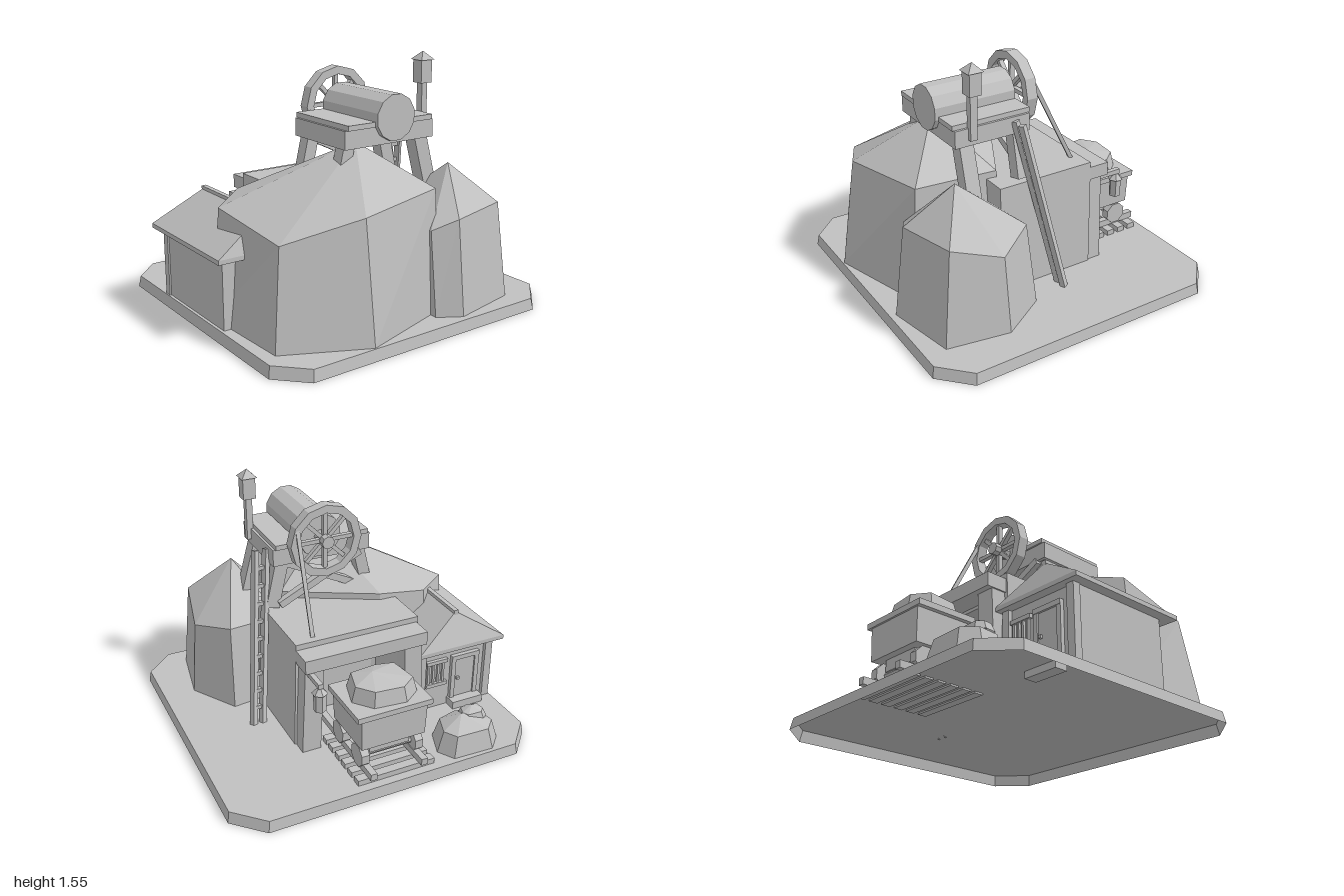
import * as THREE from 'three';

const grey = new THREE.MeshStandardMaterial({ color: 0xc0c0c0, flatShading: true, side: THREE.DoubleSide });
grey.name = 'plain grey';
const V = (a) => new THREE.Vector3(...a);

export function createModel() {
  const model = new THREE.Group();
  model.name = 'mine';

  const add = (name, geo, x = 0, y = 0, z = 0) => {
    const m = new THREE.Mesh(geo, grey);
    m.name = name;
    m.position.set(x, y, z);
    model.add(m);
    return m;
  };
  // Box given by its limits on each axis
  const box = (name, x0, x1, y0, y1, z0, z1) =>
    add(name, new THREE.BoxGeometry(x1 - x0, y1 - y0, z1 - z0), (x0 + x1) / 2, (y0 + y1) / 2, (z0 + z1) / 2);
  // Square beam between two points
  const beam = (name, a, b, w, d = w) => {
    const p = V(a), q = V(b), dir = q.clone().sub(p);
    const m = add(name, new THREE.BoxGeometry(w, dir.length(), d));
    m.position.copy(p).add(q).multiplyScalar(0.5);
    m.quaternion.setFromUnitVectors(new THREE.Vector3(0, 1, 0), dir.normalize());
    return m;
  };
  // Faceted shell, open below: rings of matching points closed by an apex, counter-clockwise from above
  const faceted = (name, rings, apex) => {
    const pos = [];
    const tri = (...pts) => pts.forEach((p) => pos.push(...p));
    const n = rings[0].length;
    for (let i = 0; i < n; i++) {
      const j = (i + 1) % n;
      for (let r = 0; r + 1 < rings.length; r++) {
        const [a, b] = [rings[r], rings[r + 1]];
        tri(a[i], a[j], b[j]);
        tri(a[i], b[j], b[i]);
      }
      const top = rings[rings.length - 1];
      tri(top[i], top[j], apex);
    }
    const g = new THREE.BufferGeometry();
    g.setAttribute('position', new THREE.Float32BufferAttribute(pos, 3));
    g.computeVertexNormals();
    return add(name, g);
  };
  const atHeight = (pts, y) => pts.map(([x, z]) => [x, y, z]);
  const scaled = (pts, cx, cz, s) => pts.map(([x, z]) => [cx + (x - cx) * s, cz + (z - cz) * s]);
  const rect = (x0, x1, z0, z1) => [[x0, z1], [x1, z1], [x1, z0], [x0, z0]];

  // Hollow ground slab with cut corners
  const slab = [[-0.8, 0.965], [0.825, 0.965], [1, 0.795], [1, -0.795],
    [0.825, -0.965], [-0.8, -0.965], [-0.965, -0.795], [-0.965, 0.795]];
  faceted('ground', [atHeight(slab, 0), atHeight(scaled(slab, 0.015, 0, 0.988), 0.07)], [0.015, 0.07, 0]);

  // Big and small mounds
  faceted('bigMound', [
    atHeight([[-0.87, 0.71], [-0.385, 0.945], [0.23, 0.76], [0.32, 0.2], [-0.28, -0.14], [-0.64, -0.14], [-0.9, 0.09]], 0.07),
    [[-0.8, 0.645, 0.65], [-0.375, 0.77, 0.84], [0.22, 0.81, 0.72], [0.25, 0.8, 0.2],
      [-0.3, 0.8, -0.095], [-0.61, 0.76, -0.1], [-0.85, 0.73, 0.1]],
  ], [-0.13, 1.075, 0.42]);
  faceted('smallMound', [
    atHeight([[0.15, 0.83], [0.29, 0.915], [0.725, 0.825], [0.79, 0.44], [0.61, 0.145], [0.2, 0.2]], 0.07),
    [[0.15, 0.58, 0.77], [0.295, 0.64, 0.845], [0.685, 0.66, 0.765], [0.745, 0.55, 0.455], [0.59, 0.605, 0.21], [0.24, 0.6, 0.25]],
  ], [0.435, 0.905, 0.585]);

  // Loose boulders at the back corner
  const boulder = [[-0.71, -0.68], [-0.54, -0.62], [-0.38, -0.66], [-0.32, -0.82], [-0.38, -0.92], [-0.64, -0.93], [-0.73, -0.84]];
  faceted('boulder', [atHeight(boulder, 0.07), atHeight(scaled(boulder, -0.53, -0.78, 0.8), 0.2)], [-0.5, 0.27, -0.78]);
  const pebble = scaled(boulder, -0.64, -0.73, 0.45);
  faceted('topBoulder', [atHeight(pebble, 0.21), atHeight(scaled(pebble, -0.59, -0.75, 0.75), 0.26)], [-0.59, 0.29, -0.75]);

  // Mine entrance: battered walls and roof around a tunnel, closed at the far end
  faceted('tunnelEnd', [atHeight(rect(-0.41, 0.42, -0.1, 0.265), 0.07), atHeight(rect(-0.395, 0.4, -0.1, 0.265), 0.76)],
    [0, 0.76, 0.08]);
  for (const s of [-1, 1]) {
    const wall = (out) => (s < 0 ? rect(-out - 0.005, -0.27, -0.385, -0.1) : rect(0.28, out, -0.385, -0.1));
    faceted('tunnelWall', [atHeight(wall(0.42), 0.07), atHeight(wall(0.4), 0.76)], [s * 0.33, 0.76, -0.24]);
    const post = (out, z1) => (s < 0 ? rect(-out, 0.12 - out, -0.48, z1) : rect(out - 0.12, out, -0.48, z1));
    faceted('portalPost', [atHeight(post(0.41, -0.39), 0.07), atHeight(post(0.385, -0.375), 0.64)], [s * 0.33, 0.64, -0.43]);
  }
  box('tunnelRoof', -0.27, 0.28, 0.62, 0.76, -0.385, -0.1);
  box('lintel', -0.395, 0.4, 0.64, 0.725, -0.52, -0.38);

  // Hanging lantern on a bracket
  box('lanternBracket', 0.345, 0.375, 0.605, 0.635, -0.64, -0.48);
  add('lantern', new THREE.CylinderGeometry(0.037, 0.037, 0.115, 6), 0.36, 0.51, -0.62);
  add('lanternCap', new THREE.CylinderGeometry(0.015, 0.048, 0.035, 6), 0.36, 0.585, -0.62);

  // Track, with sleepers sunk a little into the ground
  for (let i = 0; i < 6; i++) box('sleeper', -0.25, 0.25, 0.06, 0.105, -0.9 + i * 0.085, -0.845 + i * 0.085);
  for (const x of [-0.165, 0.165]) box('rail', x - 0.02, x + 0.02, 0.105, 0.148, -0.93, -0.12);

  // Ore cart
  const cart = rect(-0.205, 0.205, -0.848, -0.485);
  faceted('cartBody', [atHeight(cart, 0.27), atHeight(scaled(cart, 0, -0.665, 1.03), 0.47)], [0, 0.47, -0.665]);
  box('cartFloor', -0.204, 0.204, 0.27, 0.285, -0.847, -0.486);
  box('cartRim', -0.24, 0.24, 0.47, 0.505, -0.865, -0.475);
  box('cartFrame', -0.13, 0.13, 0.2, 0.275, -0.8, -0.52);
  for (const z of [-0.526, -0.775]) {
    add('axle', new THREE.CylinderGeometry(0.02, 0.02, 0.38, 6), 0, 0.19, z).rotation.z = Math.PI / 2;
    for (const x of [-0.175, 0.175]) {
      add('cartWheel', new THREE.CylinderGeometry(0.073, 0.073, 0.05, 8, 1, false, Math.PI / 8), x, 0.19, z).rotation.z = Math.PI / 2;
    }
  }
  const ore = [[-0.17, -0.54], [-0.04, -0.51], [0.15, -0.53], [0.2, -0.7], [0.11, -0.81], [-0.09, -0.83], [-0.2, -0.75]];
  faceted('ore', [atHeight(ore, 0.5), atHeight(scaled(ore, 0, -0.67, 0.87), 0.6)], [0.04, 0.635, -0.64]);

  // Cabin with hipped roof
  box('cabinWalls', -0.935, -0.42, 0.07, 0.52, -0.4, 0.28);
  const eave = rect(-1, -0.395, -0.46, 0.36);
  faceted('cabinRoof', [atHeight(scaled(eave, -0.69, -0.05, 0.8), 0.495), atHeight(eave, 0.495), atHeight(eave, 0.522),
    atHeight(rect(-0.7, -0.675, -0.37, 0.3), 0.71)], [-0.69, 0.71, 0]);
  box('ridgeCap', -0.702, -0.672, 0.695, 0.73, -0.375, 0.28);
  for (const x of [-0.92, -0.435]) box('cornerPost', x - 0.025, x + 0.025, 0.07, 0.5, -0.425, -0.375);
  box('doorStep', -0.86, -0.64, 0.03, 0.12, -0.48, -0.4);
  box('door', -0.82, -0.68, 0.12, 0.4, -0.415, -0.4);
  for (const x of [-0.835, -0.665]) box('doorFrame', x - 0.015, x + 0.015, 0.12, 0.43, -0.425, -0.4);
  box('doorHead', -0.85, -0.65, 0.4, 0.43, -0.428, -0.4);
  box('doorKnob', -0.709, -0.691, 0.251, 0.269, -0.431, -0.413);
  for (let i = 0; i < 4; i++) box('windowBar', -0.6 + i * 0.035, -0.585 + i * 0.035, 0.25, 0.4, -0.415, -0.4);
  for (const y of [0.235, 0.4]) box('windowFrame', -0.62, -0.47, y, y + 0.025, -0.422, -0.4);

  // Headframe platform
  box('platform', -0.285, 0.355, 1.063, 1.17, 0.04, 0.53);
  for (const [a, b] of [[-0.27, -0.08], [0.19, 0.34]]) box('platformBeam', a, b, 1.17, 1.2, 0.03, 0.54);

  // Splayed legs and cross braces
  beam('leg', [0.29, 1.08, 0.45], [0.4, 0.68, 0.45], 0.09);
  beam('leg', [0.29, 1.08, 0.1], [0.36, 0.78, 0.1], 0.085);
  for (const z of [0.1, 0.45]) beam('leg', [-0.22, 1.08, z], [-0.32, 0.65, z], 0.075);
  beam('crossBrace', [0.26, 1.06, 0.08], [-0.26, 0.8, 0.08], 0.045);
  beam('crossBrace', [-0.22, 1.06, 0.05], [0.32, 0.8, 0.05], 0.045);
  beam('backBrace', [0.235, 1.31, -0.055], [0.27, 0.75, -0.33], 0.024);

  // Winding drum
  const wx = 0.053, wy = 1.215;
  add('drum', new THREE.CylinderGeometry(0.137, 0.137, 0.53, 12, 1, false, Math.PI / 12), wx, wy, 0.295).rotation.x = Math.PI / 2;

  // Spoked wheel
  const ring = new THREE.Shape(), hole = new THREE.Path();
  for (let i = 0; i < 12; i++) {
    const a = (i * Math.PI) / 6, c = Math.cos(a), s = Math.sin(a);
    ring[i ? 'lineTo' : 'moveTo'](c * 0.23, s * 0.23);
    hole[i ? 'lineTo' : 'moveTo'](c * 0.18, s * 0.18);
  }
  ring.holes.push(hole);
  add('wheelRim', new THREE.ExtrudeGeometry(ring, { depth: 0.07, bevelEnabled: false }), wx, wy, -0.065);
  for (let i = 0; i < 4; i++) {
    add('wheelSpoke', new THREE.BoxGeometry(0.37, 0.025, 0.03), wx, wy, -0.03).rotation.z = (i * Math.PI) / 4;
  }
  add('wheelHub', new THREE.CylinderGeometry(0.04, 0.04, 0.13, 8), wx, wy, -0.025).rotation.x = Math.PI / 2;

  // Ladder
  const outer = [V([0.43, 1.145, 0.14]), V([0.57, 0.07, -0.085])];
  const inner = [V([0.36, 1.145, 0.14]), V([0.51, 0.07, -0.085])];
  for (const r of [outer, inner]) beam('ladderRail', r[0].toArray(), r[1].toArray(), 0.035);
  for (let i = 1; i < 10; i++) {
    const [p, q] = [outer, inner].map((r) => r[0].clone().lerp(r[1], i / 10).toArray());
    beam('ladderRung', p, q, 0.025);
  }

  // Lamp post on the platform
  box('lampPost', 0.34, 0.38, 1.1, 1.37, 0.4, 0.445);
  box('lampBox', 0.32, 0.4, 1.37, 1.505, 0.385, 0.46);
  add('lampRoof', new THREE.ConeGeometry(0.07, 0.05, 4), 0.36, 1.53, 0.422).rotation.y = Math.PI / 4;

  return model;
}
